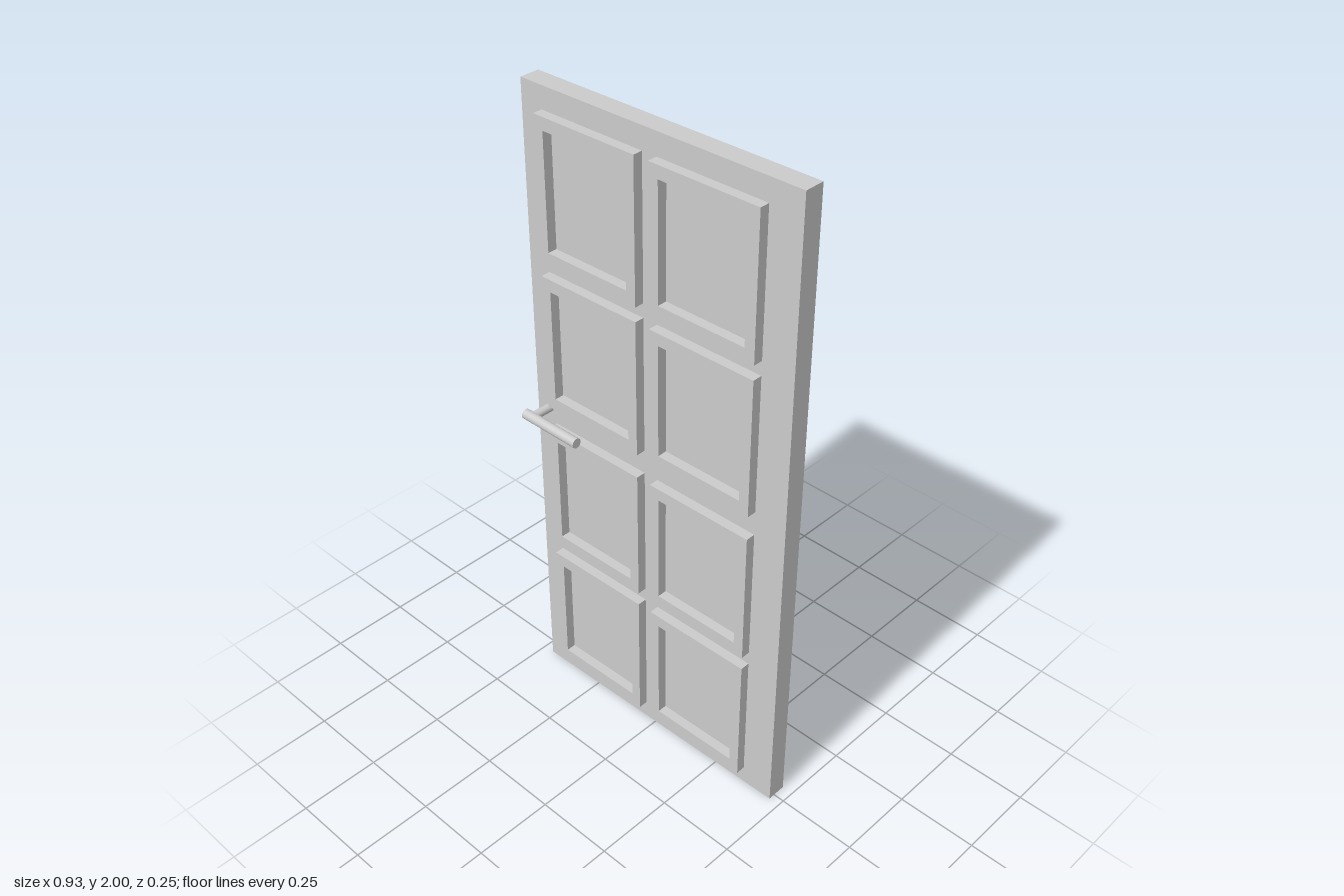
import * as THREE from 'three';

const material = new THREE.MeshStandardMaterial({ color: 0xcccccc });

function addMesh(parent, name, geometry, x, y, z) {
  const mesh = new THREE.Mesh(geometry, material);
  mesh.name = name;
  mesh.position.set(x, y, z);
  parent.add(mesh);
  return mesh;
}

function rectangle(Type, w, h) {
  return new Type([
    new THREE.Vector2(-w / 2, -h / 2), new THREE.Vector2(w / 2, -h / 2),
    new THREE.Vector2(w / 2, h / 2), new THREE.Vector2(-w / 2, h / 2),
  ]);
}

// Rectangular moulding ring, centred on its own depth
function mouldingGeometry() {
  const shape = rectangle(THREE.Shape, 0.35, 0.426);
  shape.holes.push(rectangle(THREE.Path, 0.286, 0.35));
  const geometry = new THREE.ExtrudeGeometry(shape, { depth: 0.03, bevelEnabled: false });
  geometry.translate(0, 0, -0.015);
  return geometry;
}

export function createModel() {
  const model = new THREE.Group();
  model.name = 'door';

  // Door leaf, turned a touch on its hinge
  const leaf = new THREE.Group();
  leaf.name = 'leaf';
  leaf.position.z = -0.002;
  leaf.rotation.y = 0.0172;
  model.add(leaf);
  addMesh(leaf, 'slab', new THREE.BoxGeometry(0.928, 2, 0.062), 0, 1, 0);

  // Eight mouldings per face, standing just clear of the slab
  const moulding = mouldingGeometry();
  for (const side of [1, -1]) {
    for (const x of [-0.204, 0.194]) {
      for (const y of [0.286, 0.755, 1.257, 1.727]) {
        addMesh(leaf, side > 0 ? 'frontMoulding' : 'backMoulding', moulding, x * side, y, 0.0565 * side);
      }
    }
  }

  // Lever handle: spindle through the leaf and a grip on each side
  const handle = new THREE.Group();
  handle.name = 'handle';
  handle.position.set(-0.414, 1.004, -0.002);
  model.add(handle);
  const spindle = new THREE.CylinderGeometry(0.013, 0.013, 0.22, 32);
  addMesh(handle, 'spindle', spindle, 0, 0, 0).rotation.x = Math.PI / 2;
  const grip = new THREE.CylinderGeometry(0.0155, 0.0155, 0.212, 32);
  for (const side of [1, -1]) {
    addMesh(handle, side > 0 ? 'frontGrip' : 'backGrip', grip, 0.08, 0, 0.1105 * side).rotation.z = Math.PI / 2;
  }

  return model;
}
